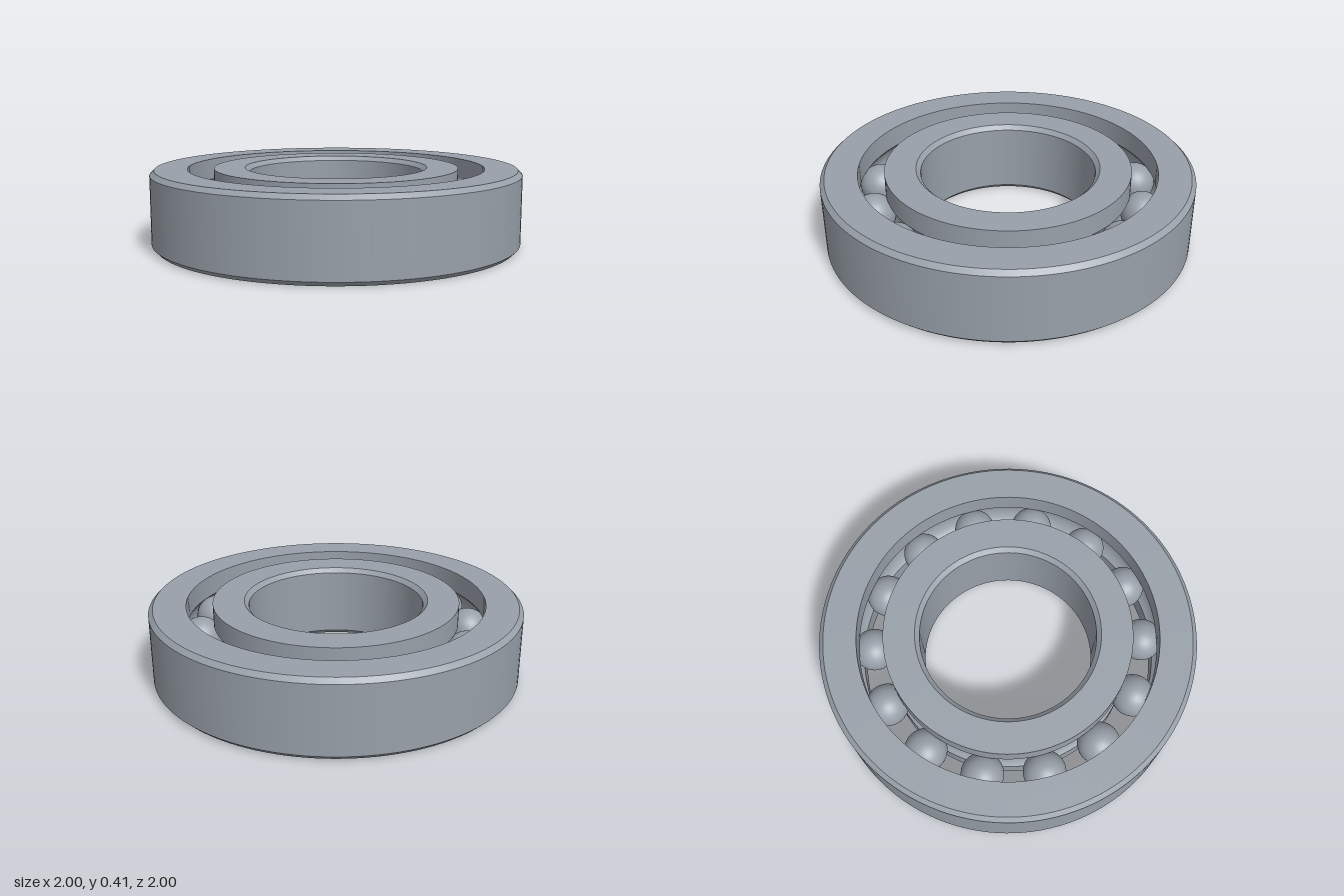
import * as THREE from 'three';
import { mergeGeometries } from 'three/addons/utils/BufferGeometryUtils.js';

const HEIGHT = 0.415, MID = HEIGHT / 2, CHAMFER = 0.024;
const BALL_COUNT = 14, BALL_RADIUS = 0.114, PITCH_RADIUS = 0.732;
const OUTER = 1, OUTER_BORE = 0.802, INNER = 0.662, BORE = 0.47;

// Revolve each profile strip on its own, so edges between strips stay sharp.
function revolve(strips) {
  return mergeGeometries(strips.map((strip) =>
    new THREE.LatheGeometry(strip.map(([x, y]) => new THREE.Vector2(x, y)), 128)));
}

// Straight strips joining consecutive profile points.
const straight = (points) => points.slice(1).map((p, i) => [points[i], p]);

// Ball groove cut into a wall of the given radius; side is +1 (outer race) or -1 (inner race).
function groove(wallRadius, side) {
  const half = Math.acos(Math.abs(wallRadius - PITCH_RADIUS) / BALL_RADIUS);
  const arc = [];
  for (let i = 0; i <= 16; i++) {
    const a = side * half * (1 - i / 8);
    arc.push([PITCH_RADIUS + side * BALL_RADIUS * Math.cos(a), MID + BALL_RADIUS * Math.sin(a)]);
  }
  return arc;
}

export function createModel() {
  const model = new THREE.Group();
  model.name = 'ballBearing';
  const steel = new THREE.MeshStandardMaterial({ color: 0x98a0a9 });
  steel.name = 'steel';

  const add = (name, geometry, parent = model) => {
    const mesh = new THREE.Mesh(geometry, steel);
    mesh.name = name;
    parent.add(mesh);
    return mesh;
  };

  // Outer race: chamfered outside, grooved inside
  const outerGroove = groove(OUTER_BORE, 1);
  add('outerRace', revolve([
    ...straight([
      [OUTER_BORE, 0], [OUTER - CHAMFER, 0], [OUTER, CHAMFER], [OUTER, HEIGHT - CHAMFER],
      [OUTER - CHAMFER, HEIGHT], [OUTER_BORE, HEIGHT], outerGroove[0],
    ]),
    outerGroove,
    [outerGroove.at(-1), [OUTER_BORE, 0]],
  ]));

  // Inner race: grooved outside, chamfered bore
  const innerGroove = groove(INNER, -1);
  add('innerRace', revolve([
    ...straight([
      innerGroove.at(-1), [INNER, HEIGHT], [BORE + CHAMFER, HEIGHT], [BORE, HEIGHT - CHAMFER],
      [BORE, CHAMFER], [BORE + CHAMFER, 0], [INNER, 0], innerGroove[0],
    ]),
    innerGroove,
  ]));

  // Ring of balls
  const balls = new THREE.Group();
  balls.name = 'balls';
  model.add(balls);
  const ballGeometry = new THREE.SphereGeometry(BALL_RADIUS, 40, 24);
  for (let i = 0; i < BALL_COUNT; i++) {
    const a = THREE.MathUtils.degToRad(89.1) + (i / BALL_COUNT) * Math.PI * 2;
    add(`ball${i + 1}`, ballGeometry, balls)
      .position.set(PITCH_RADIUS * Math.cos(a), MID, PITCH_RADIUS * Math.sin(a));
  }

  return model;
}
